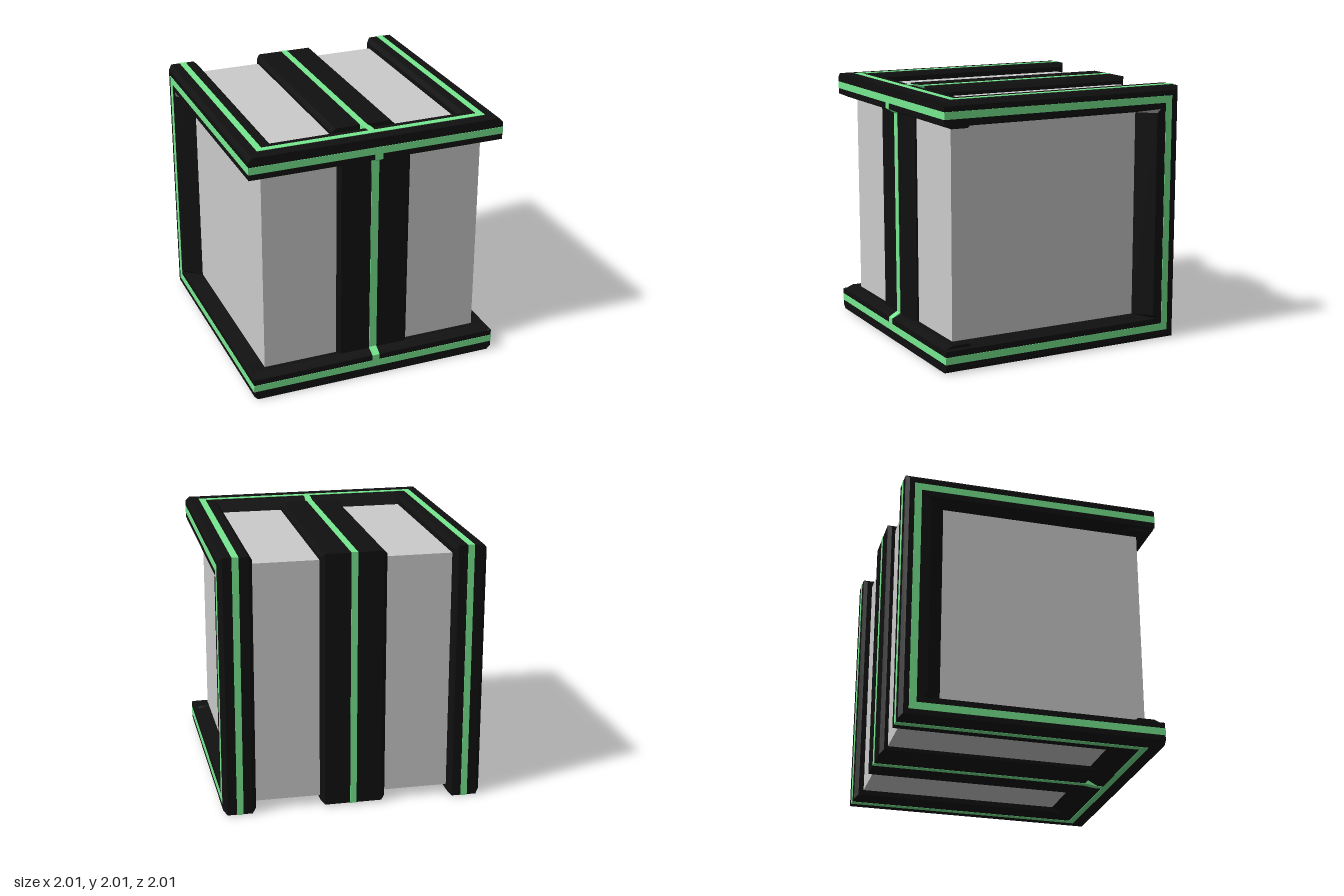
import * as THREE from 'three';
import { ConvexGeometry } from 'three/addons/geometries/ConvexGeometry.js';

export function createModel() {
  const model = new THREE.Group();
  const grey = new THREE.MeshStandardMaterial({ color: 0xcccccc });
  const black = new THREE.MeshStandardMaterial({ color: 0x101010, flatShading: true });
  const green = new THREE.MeshStandardMaterial({ color: 0x77e990 });
  const V = (x, y, z) => new THREE.Vector3(x, y, z);

  const add = (name, geometry, material) => {
    const mesh = new THREE.Mesh(geometry, material);
    mesh.name = name;
    model.add(mesh);
  };
  const hull = (name, points, material = black) => add(name, new ConvexGeometry(points), material);
  // Box given by its lower and upper corners, in any order
  const block = (name, a, b, material = green) => {
    const g = new THREE.BoxGeometry(...a.map((v, i) => Math.abs(b[i] - v)));
    g.translate(...a.map((v, i) => (v + b[i]) / 2));
    add(name, g, material);
  };
  const E = 1.003; // outer face of the light strips
  const I = 0.97;  // buried inner face of the light strips

  // Core
  block('core', [-0.875, 0.07, -0.93], [0.875, 1.93, 0.89], grey);

  // Sections: [x, depth below the outer face]
  const railSection = [[0.97, 0], [0.78, 0], [0.75, 0.03], [0.75, 0.1], [0.875, 0.2], [1, 0.17], [1, 0.03]];
  const postSection = [[0.97, 0], [0.78, 0], [0.75, 0.03], [0.75, 0.1], [0.875, 0.32], [1, 0.2], [1, 0.03]];
  const bandSection = [[-0.22, 0], [0.22, 0], [0.25, 0.03], [0.25, 0.1], [-0.25, 0.1], [-0.25, 0.03]];
  const drop = 0.012; // centre bands sit slightly lower than the frame

  for (const sx of [-1, 1]) {
    const side = sx > 0 ? 'left' : 'right';
    // Back corner post, mitred at both ends
    hull(side + 'BackPost', postSection.flatMap(([x, d]) =>
      [-1, 1].map(s => V(sx * x, 1 + s * (1 - Math.min(d, 0.2)), -1 + d))));
    // Post strips on the side and back faces
    block(side + 'PostSideStrip', [sx * I, 0.07, -0.93], [sx * E, 1.93, -0.875]);
    block(side + 'PostBackStrip', [sx * 0.85, -0.003, -I], [sx * 0.9, 2.003, -E]);
  }

  for (const s of [-1, 1]) {
    const end = s > 0 ? 'top' : 'bottom';
    const Y = h => 1 + s * h; // height measured from mid-level

    // Front rail with sloped inner edge and chamfered lip
    const frontSection = [[0.67, 0.93], [0.8, 1], [1, 1], [1, 0.83], [0.93, 0.8], [0.8, 0.8]];
    hull(end + 'FrontRail', frontSection.flatMap(([z, h]) => [-I, I].map(x => V(x, Y(h), z))));
    block(end + 'FrontRailStrip', [-1, Y(0.875), I], [1, Y(0.93), E]);
    block(end + 'FaceFrontStrip', [-0.9, Y(I), 0.85], [0.9, Y(E), 0.9]);

    // Side rails and their strips
    for (const sx of [-1, 1]) {
      const name = end + (sx > 0 ? 'Left' : 'Right') + 'Rail';
      hull(name, railSection.flatMap(([x, d]) =>
        [V(sx * x, Y(1 - d), -1 + d), V(sx * x, Y(1 - d), d > 0.19 ? 0.93 : 1)]));
      block(name + 'SideStrip', [sx * I, Y(0.875), -0.93], [sx * E, Y(0.93), 1]);
      block(name + 'FaceStrip', [sx * 0.85, Y(I), -E], [sx * 0.9, Y(E), 0.9]);
    }

    // Centre band across the top or bottom
    hull(end + 'CentreBand', bandSection.flatMap(([x, d]) =>
      [V(x, Y(1 - drop - d), -1 + drop + d), V(x, Y(1 - drop - d), 0.7)]));
    block(end + 'CentreStrip', [-0.025, Y(0.95), -E + drop], [0.025, Y(E - drop), 0.72]);

    // Ramps that lift the centre strips onto the front rail
    const ramp = (name, w, profile) =>
      hull(name, profile.flatMap(([h, z]) => [-w, w].map(x => V(x, Y(h), z))), green);
    ramp(end + 'FaceRamp', 0.025, [[0.92, 0.69], [E - drop, 0.71], [E, 0.79], [E, 0.86], [0.92, 0.86]]);
    ramp(end + 'FrontRamp', 0.03, [[0.79, 0.9], [0.79, 0.935], [0.83, E], [0.88, E], [0.88, 0.9]]);
  }

  // Back centre band
  hull('backCentreBand', bandSection.flatMap(([x, d]) =>
    [-1, 1].map(s => V(x, 1 + s * (1 - drop - d), -1 + drop + d))));
  block('backCentreStrip', [-0.025, 0.009, -0.95], [0.025, 1.991, -E + drop]);

  // Front centre band
  hull('frontCentreBand', [[-0.29, 0.88], [-0.29, 0.905], [-0.265, 0.93], [0.265, 0.93], [0.29, 0.905], [0.29, 0.88]]
    .flatMap(([x, z]) => [V(x, 0.18, z), V(x, 1.82, z)]));
  block('frontCentreStrip', [-0.03, 0.2, 0.9], [0.03, 1.8, 0.934]);

  return model;
}
